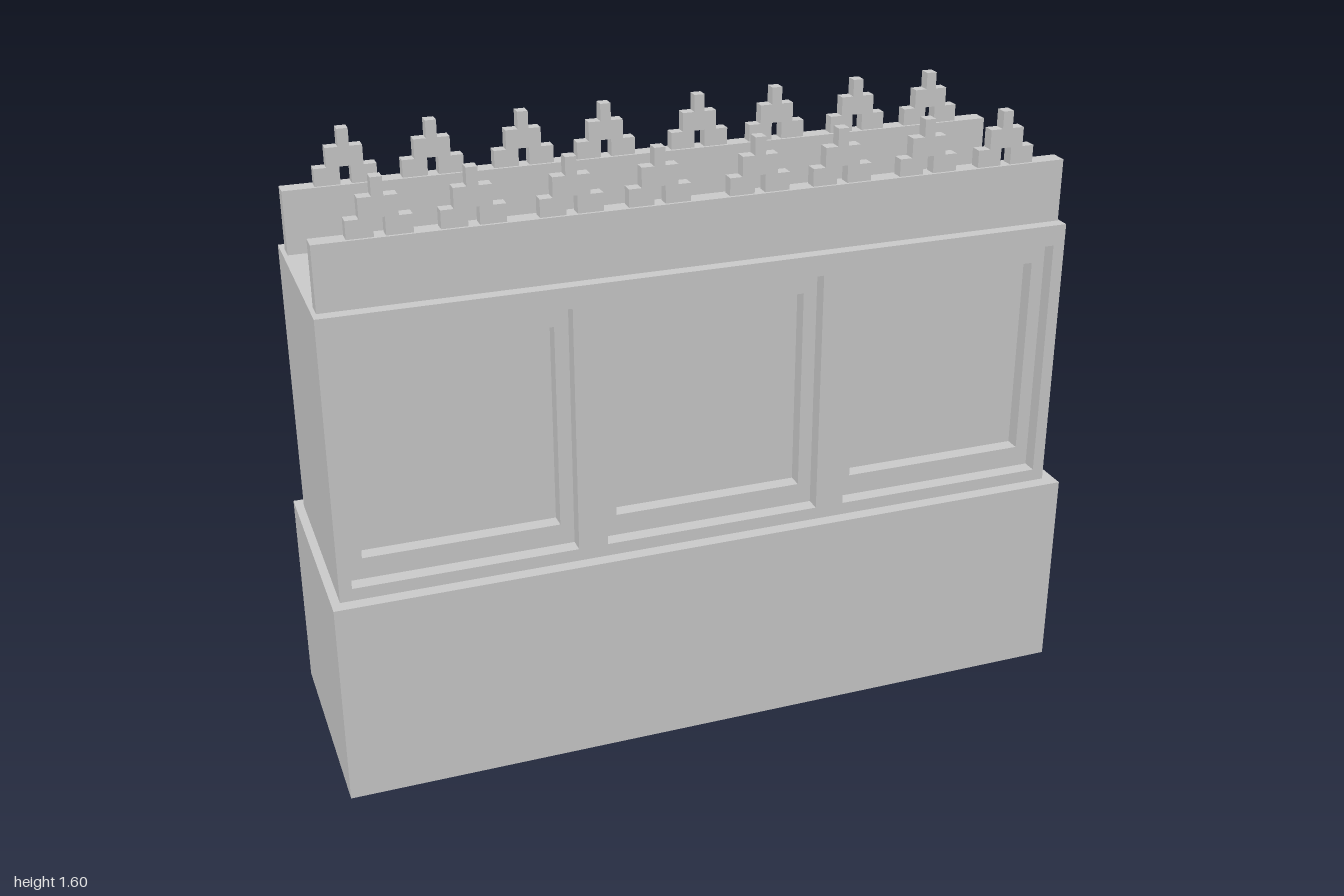
import * as THREE from 'three';

const material = new THREE.MeshStandardMaterial({ color: 0xcccccc, flatShading: true, side: THREE.DoubleSide });

const TOP = 1.29, LEDGE = 0.55, RAIL_TOP = 1.455;
const upper = { x: -0.005, halfW: 0.973, halfD: 0.27 };
const railZ = [0.213, -0.205];

function named(name, geometry) {
  const mesh = new THREE.Mesh(geometry, material);
  mesh.name = name;
  return mesh;
}

// Counter-clockwise corners of a rectangle
const corners = ([x0, x1, y0, y1]) => [[x0, y0], [x1, y0], [x1, y1], [x0, y1]];

const path = (rect, Type) => new Type(corners(rect).map(([x, y]) => new THREE.Vector2(x, y)));

// Flat face with rectangular openings, facing +z
function faceWithHoles(rect, holes = []) {
  const shape = path(rect, THREE.Shape);
  shape.holes = holes.map((h) => path(h, THREE.Path));
  return new THREE.ShapeGeometry(shape);
}

// Open-ended steps through rectangles [x0, x1, y0, y1, z]; the last one may be capped
function steps(rects, capped) {
  const loops = rects.map((r) => corners(r).map(([x, y]) => [x, y, r[4]]));
  const pos = [];
  const quad = (a, b, c, d) => pos.push(...a, ...b, ...c, ...a, ...c, ...d);
  for (let i = 0; i + 1 < loops.length; i++) {
    for (let j = 0; j < 4; j++) {
      const k = (j + 1) % 4;
      quad(loops[i][j], loops[i][k], loops[i + 1][k], loops[i + 1][j]);
    }
  }
  if (capped) quad(...loops[loops.length - 1]);
  const geometry = new THREE.BufferGeometry();
  geometry.setAttribute('position', new THREE.Float32BufferAttribute(pos, 3));
  geometry.computeVertexNormals();
  return geometry;
}

const rectAt = (cx, halfW, cy, halfH) => [cx - halfW, cx + halfW, cy - halfH, cy + halfH];

// Long wall with three double-stepped recessed panels
function panelledWall() {
  const wall = new THREE.Group();
  wall.name = 'panelledWall';
  const frames = [-0.653, 0, 0.653].map((cx) => ({
    outer: rectAt(cx, 0.288, 0.909, 0.326),
    inner: rectAt(cx, 0.252, 0.909, 0.269),
  }));
  const outline = [-upper.halfW, upper.halfW, LEDGE, TOP];
  wall.add(named('wallFace', faceWithHoles(outline, frames.map((f) => f.outer))));
  for (const { outer, inner } of frames) {
    wall.add(named('recessedPanel', steps(
      [[...outer, 0], [...outer, -0.04], [...inner, -0.04], [...inner, -0.08]], true)));
  }
  return wall;
}

// Stepped, arched ornament standing on a rail
function finialGeometry() {
  const right = [[0.014, 0], [0.078, 0], [0.078, 0.045], [0.046, 0.045], [0.046, 0.095], [0.014, 0.095], [0.014, 0.14]];
  const left = right.map(([x, y]) => [-x, y]).reverse();
  const outline = [...right, ...left, [-0.014, 0.045], [0.014, 0.045]];
  const shape = new THREE.Shape(outline.map(([x, y]) => new THREE.Vector2(x, y)));
  return new THREE.ExtrudeGeometry(shape, { depth: 0.032, bevelEnabled: false }).translate(0, 0, -0.016);
}

export function createModel() {
  const model = new THREE.Group();
  model.name = 'panelledBlock';

  // Plinth, open underneath, with a ledge around the upper storey
  const base = rectAt(0, 1, 0, 0.306);
  const foot = rectAt(upper.x, upper.halfW, 0, upper.halfD);
  model.add(named('plinth', steps(
    [[...base, 0], [...base, LEDGE], [...foot, LEDGE]], false).rotateX(-Math.PI / 2)));

  // Upper storey: two panelled walls and two plain ends
  for (const side of [0, 1]) {
    const wall = panelledWall();
    wall.rotation.y = side * Math.PI;
    wall.position.set(upper.x, 0, side ? -upper.halfD : upper.halfD);
    model.add(wall);

    const end = named('endWall', faceWithHoles([-upper.halfD, upper.halfD, LEDGE, TOP]));
    end.rotation.y = side ? -Math.PI / 2 : Math.PI / 2;
    end.position.x = upper.x + (side ? -upper.halfW : upper.halfW);
    model.add(end);
  }

  // Roof deck and the rails rising from it
  const rails = railZ.map((z) => rectAt(-0.002, 0.965, -z, 0.0235));
  const deck = named('roofDeck', faceWithHoles(foot, rails).rotateX(-Math.PI / 2));
  deck.position.y = TOP;
  model.add(deck);
  for (const rail of rails) {
    model.add(named('rail', steps([[...rail, TOP], [...rail, RAIL_TOP]], true).rotateX(-Math.PI / 2)));
  }

  // Row of finials on each rail
  const finial = finialGeometry();
  for (const z of railZ) {
    for (const x of [-0.807, -0.588, -0.353, -0.134, 0.123, 0.342, 0.578, 0.797]) {
      const mesh = named('finial', finial);
      mesh.position.set(x, RAIL_TOP, z);
      model.add(mesh);
    }
  }
  return model;
}
